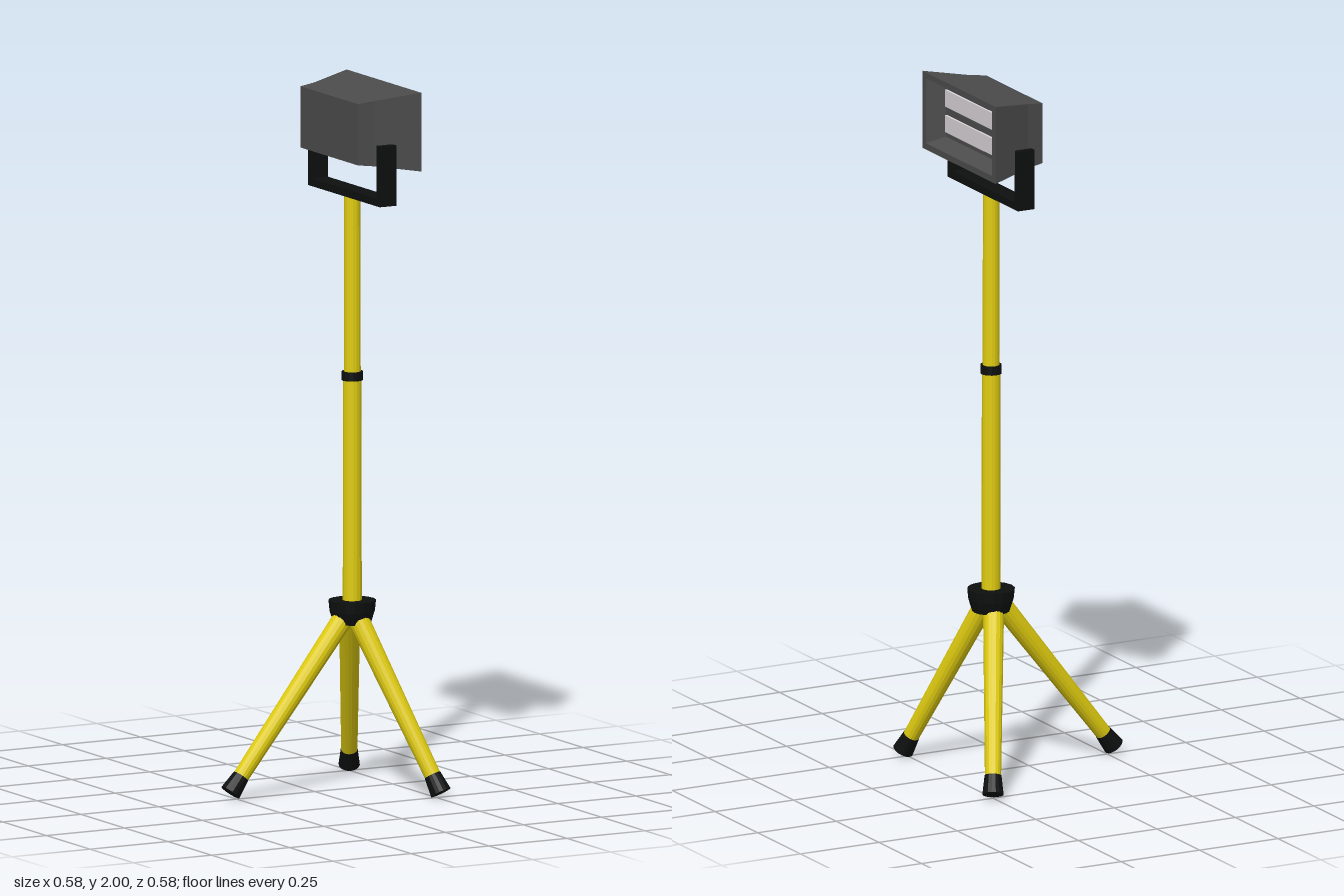
import * as THREE from 'three';

const material = (name, color, extra = {}) => {
  const m = new THREE.MeshStandardMaterial({ color, flatShading: true, ...extra });
  m.name = name;
  return m;
};

export function createModel() {
  const yellow = material('yellow paint', 0xe0cc10);
  const black = material('black plastic', 0x0e0f0f);
  const grey = material('grey housing', 0x4c4c4c);
  const white = material('lamp tubes', 0xd8d2d6);

  const model = new THREE.Group();
  model.name = 'workLight';
  const AX = 0.123, AZ = -0.005; // pole axis

  const add = (name, geometry, mat, x = 0, y = 0, z = 0, parent = model) => {
    const mesh = new THREE.Mesh(geometry, mat);
    mesh.name = name;
    mesh.position.set(x, y, z);
    parent.add(mesh);
    return mesh;
  };

  // Tapered rod between two points
  const rod = (name, a, b, ra, rb, mat, parent) => {
    const dir = b.clone().sub(a);
    const mesh = add(name, new THREE.CylinderGeometry(rb, ra, dir.length(), 16), mat, 0, 0, 0, parent);
    mesh.position.copy(a).add(b).multiplyScalar(0.5);
    mesh.quaternion.setFromUnitVectors(new THREE.Vector3(0, 1, 0), dir.normalize());
  };

  // Telescopic pole with clamp ring and leg collar
  const at = (y) => new THREE.Vector3(AX, y, AZ);
  rod('lowerPole', at(0.48), at(1.17), 0.027, 0.026, yellow, model);
  rod('upperPole', at(1.17), at(1.69), 0.024, 0.023, yellow, model);
  rod('clampRing', at(1.16), at(1.185), 0.03, 0.03, black, model);
  const collarProfile = [[0, 0.47], [0.053, 0.47], [0.064, 0.505], [0.067, 0.535], [0, 0.535]]
    .map(([r, y]) => new THREE.Vector2(r, y));
  add('legCollar', new THREE.LatheGeometry(collarProfile, 16), black, AX, 0, AZ);

  // Three splayed legs with rubber feet
  const legs = [
    [[0.102, 0.5, 0], [-0.272, 0.022, 0.003]],
    [[0.122, 0.5, -0.018], [0.258, 0.016, -0.264]],
    [[0.122, 0.5, 0.016], [0.258, 0.016, 0.262]],
  ];
  for (const [top, foot] of legs) {
    const leg = new THREE.Group();
    leg.name = 'leg';
    model.add(leg);
    const a = new THREE.Vector3(...top), b = new THREE.Vector3(...foot);
    const ankle = b.clone().lerp(a, 0.055 / a.distanceTo(b));
    rod('legTube', a, ankle, 0.03, 0.023, yellow, leg);
    rod('rubberFoot', ankle, b, 0.024, 0.03, black, leg);
  }

  // U-shaped bracket
  const bracket = new THREE.Group();
  bracket.name = 'bracket';
  model.add(bracket);
  add('bracketBase', new THREE.BoxGeometry(0.053, 0.022, 0.41), black, 0.124, 1.695, -0.007, bracket);
  for (const s of [-1, 1]) {
    add('bracketArm', new THREE.BoxGeometry(0.053, 0.172, 0.02), black, 0.124, 1.77, -0.007 + s * 0.196, bracket);
  }

  // Lamp housing: rectangular rings [x, halfHeight, halfWidth] from back to recessed floor
  const rings = [
    [0.05, 0.087, 0.165],
    [0.1, 0.093, 0.172],
    [0.226, 0.112, 0.214],
    [0.226, 0.094, 0.194],
    [0.177, 0.074, 0.167],
  ].map(([x, h, w]) => [[-1, -1], [1, -1], [1, 1], [-1, 1]].map(([y, z]) => [x, y * h, z * w]));
  const positions = [];
  const quad = (a, b, c, d) => positions.push(...a, ...b, ...c, ...a, ...c, ...d);
  for (let i = 0; i < rings.length - 1; i++) {
    for (let k = 0; k < 4; k++) {
      const n = (k + 1) % 4;
      quad(rings[i][k], rings[i][n], rings[i + 1][n], rings[i + 1][k]);
    }
  }
  quad(...[...rings[0]].reverse());
  quad(...rings[rings.length - 1]);
  const housing = new THREE.BufferGeometry();
  housing.setAttribute('position', new THREE.Float32BufferAttribute(positions, 3));
  housing.computeVertexNormals();
  const head = new THREE.Group();
  head.name = 'lampHead';
  head.position.set(0, 1.888, -0.007);
  model.add(head);
  add('housing', housing, grey, 0, 0, 0, head);

  // Two light strips inside the recess
  for (const s of [-1, 1]) {
    add('lightStrip', new THREE.BoxGeometry(0.008, 0.049, 0.32), white, 0.18, 0.003 + s * 0.037, 0, head);
  }
  return model;
}
